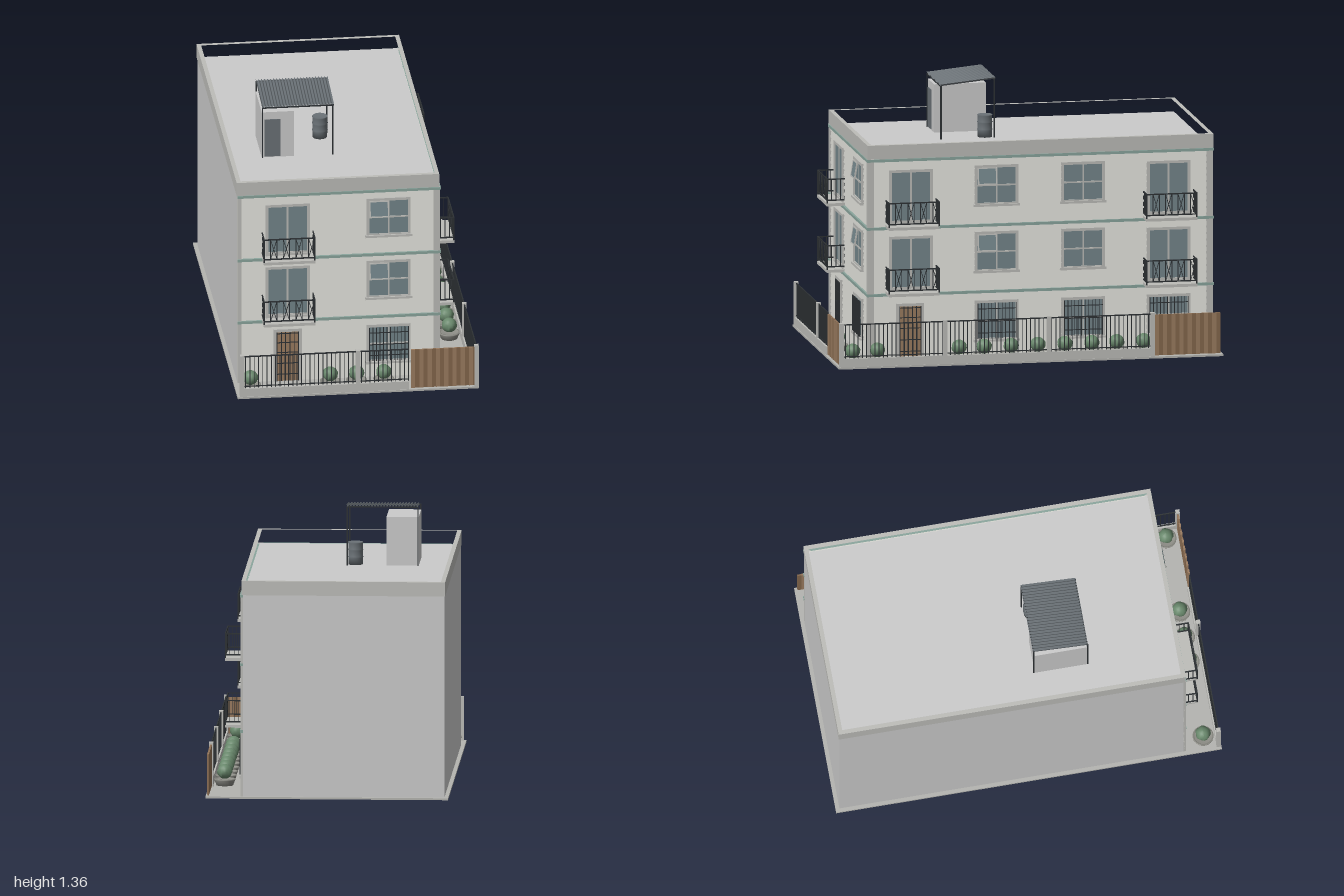
import * as THREE from 'three';
import { mergeGeometries } from 'three/addons/utils/BufferGeometryUtils.js';

const mat = (color) => new THREE.MeshStandardMaterial({ color });
const M = {
  wall: mat(0xcccccc), siding: mat(0xd6d6d0), trim: mat(0xbdbdb9), ground: mat(0xb4b4b0),
  band: mat(0x8aa59d), glass: mat(0x74868b), iron: mat(0x2c3033), wood: mat(0x9b7c60),
  woodDark: mat(0x84674c), leaf: mat(0x69886c), pot: mat(0x8f8f88), steel: mat(0x6a7176),
};

// Box from min/max corners
function box(x0, x1, y0, y1, z0, z1) {
  return new THREE.BoxGeometry(x1 - x0, y1 - y0, z1 - z0)
    .translate((x0 + x1) / 2, (y0 + y1) / 2, (z0 + z1) / 2);
}
// Thin square bar between two points
function bar(a, b, t = 0.004) {
  const p = new THREE.Vector3(...a), q = new THREE.Vector3(...b);
  const g = new THREE.BoxGeometry(t, p.distanceTo(q), t);
  const dir = q.clone().sub(p).normalize();
  g.applyQuaternion(new THREE.Quaternion().setFromUnitVectors(new THREE.Vector3(0, 1, 0), dir));
  const c = p.add(q).multiplyScalar(0.5);
  return g.translate(c.x, c.y, c.z);
}
function add(parent, name, geos, material) {
  const list = Array.isArray(geos) ? geos : [geos];
  const m = new THREE.Mesh(list.length > 1 ? mergeGeometries(list) : list[0], material);
  m.name = name;
  parent.add(m);
  return m;
}
function group(parent, name) {
  const g = new THREE.Group();
  g.name = name;
  parent.add(g);
  return g;
}
// Four-sided border, lying in the facade plane
function border(u0, u1, y0, y1, t, w0, w1) {
  return [box(u0, u0 + t, y0, y1, w0, w1), box(u1 - t, u1, y0, y1, w0, w1),
    box(u0 + t, u1 - t, y0, y0 + t, w0, w1), box(u0 + t, u1 - t, y1 - t, y1, w0, w1)];
}

// Lapped boards: sawtooth profile extruded along the facade
function siding(u0, u1) {
  const n = 31, y0 = 0.01, h = 1.04 / n, s = new THREE.Shape();
  s.moveTo(-0.004, y0);
  for (let i = 0; i < n; i++) {
    s.lineTo(0.008, y0 + i * h);
    s.lineTo(0.002, y0 + (i + 1) * h);
  }
  s.lineTo(-0.004, y0 + n * h);
  return new THREE.ExtrudeGeometry(s, { depth: u1 - u0, bevelEnabled: false })
    .rotateY(-Math.PI / 2).translate(u1, 0, 0);
}

function windowUnit(f, u, y, open, barred) {
  const g = group(f, barred ? 'barredWindow' : 'window');
  const h = 0.185, a = u - 0.1, b = u + 0.1, m = y + h / 2;
  add(g, 'windowFrame', [...border(a - 0.013, b + 0.013, y - 0.012, y + h + 0.013, 0.014, 0, 0.015),
    box(a - 0.02, b + 0.02, y - 0.016, y - 0.004, 0, 0.024)], M.trim);
  add(g, 'windowGlass', box(a, b, y, y + h, 0, 0.009), M.glass);
  add(g, 'windowBars', [box(u - 0.004, u + 0.004, y, y + h, 0, 0.012),
    box(a, b, m - 0.004, m + 0.004, 0, 0.012)], M.trim);
  if (open) { // top hung sash
    const s = group(g, 'openSash');
    s.position.set(0, y + h, 0.014);
    s.rotation.x = -0.16;
    add(s, 'sashFrame', border(a, u, -0.088, 0, 0.006, -0.003, 0.005), M.trim);
    add(s, 'sashGlass', box(a + 0.005, u - 0.005, -0.083, -0.005, -0.001, 0.002), M.glass);
  }
  if (barred) {
    const bars = [0.03, 0.09, 0.155].map((d) => box(a, b, y + d - 0.002, y + d + 0.002, 0.018, 0.022));
    for (let i = 0; i <= 11; i++) bars.push(bar([a + i * 0.2 / 11, y, 0.022], [a + i * 0.2 / 11, y + h, 0.022]));
    add(g, 'securityBars', bars, M.iron);
  }
}

function balconyDoor(f, u, y) {
  const g = group(f, 'balconyDoor');
  const a = u - 0.1, b = u + 0.1, top = y + 0.28;
  add(g, 'doorFrame', border(a - 0.013, b + 0.013, y + 0.008, top + 0.013, 0.014, 0, 0.015), M.trim);
  add(g, 'doorGlass', box(a, b, y + 0.015, top, 0, 0.009), M.glass);
  add(g, 'doorMullion', [box(u - 0.005, u + 0.005, y + 0.015, top, 0, 0.012),
    box(a, b, y + 0.015, y + 0.03, 0, 0.012)], M.trim);
  // Slab and iron railing
  const l = u - 0.13, r = u + 0.13, d = 0.095, lo = y + 0.026, hi = y + 0.135;
  add(g, 'balconySlab', box(l - 0.002, r + 0.002, y - 0.005, y + 0.01, 0, d + 0.003), M.trim);
  const rail = [];
  for (const h of [lo, hi]) {
    rail.push(bar([l, h, d], [r, h, d], 0.006));
    for (const x of [l, r]) rail.push(bar([x, h, 0], [x, h, d], 0.006));
  }
  for (const x of [l, r]) {
    rail.push(bar([x, y + 0.01, d], [x, hi, d], 0.006));
    for (let i = 0; i < 4; i++) rail.push(bar([x, lo, 0.004 + i * 0.023], [x, hi, 0.004 + i * 0.023]));
  }
  const n = 8, s = 0.26 / n;
  for (let i = 0; i < n; i++) {
    const x = l + i * s;
    if (i) rail.push(bar([x, lo, d], [x, hi, d]));
    if (i % 2) rail.push(bar([x, lo, d], [x + s, hi, d], 0.003), bar([x, hi, d], [x + s, lo, d], 0.003));
  }
  add(g, 'balconyRailing', rail, M.iron);
}

function entranceDoor(f, u) {
  const g = group(f, 'entranceDoor');
  const a = u - 0.055, b = u + 0.055;
  add(g, 'entranceFrame', [box(a - 0.017, a, 0.01, 0.298, 0, 0.016), box(b, b + 0.017, 0.01, 0.298, 0, 0.016),
    box(a, b, 0.283, 0.298, 0, 0.016)], M.trim);
  add(g, 'doorLeaf', box(a, b, 0.01, 0.283, 0, 0.01), M.wood);
  const bars = [];
  for (let i = 0; i <= 5; i++) bars.push(bar([a + i * 0.022, 0.012, 0.016], [a + i * 0.022, 0.283, 0.016]));
  for (const y of [0.05, 0.11, 0.17, 0.225, 0.275]) bars.push(bar([a, y, 0.016], [b, y, 0.016]));
  add(g, 'doorGrille', bars, M.iron);
}

// Local frame: u to the right, y up, w out of the wall
function facade(parent, name, u0, u1, doors, windows, entrance, barred) {
  const f = group(parent, name);
  add(f, 'lappedSiding', siding(u0, u1), M.siding);
  add(f, 'cornerBoards', [box(u0, u0 + 0.02, 0.01, 1.05, 0, 0.013), box(u1 - 0.02, u1 + 0.013, 0.01, 1.05, 0, 0.013)], M.trim);
  add(f, 'floorBands', [0.345, 0.69, 1.043].map((y) => box(u0, u1 + 0.017, y - 0.007, y + 0.007, 0, 0.017)), M.band);
  for (const y of [0.354, 0.699]) {
    doors.forEach((u) => balconyDoor(f, u, y));
    windows.forEach((u, i) => windowUnit(f, u, y + 0.105, i === 0, false));
  }
  entranceDoor(f, entrance);
  barred.forEach((u) => windowUnit(f, u, 0.102, false, true));
  return f;
}

// Fence run along local x from 0 to len
function fence(parent, name, len, posts) {
  const g = group(parent, name);
  add(g, 'fenceBase', box(0, len, 0.008, 0.054, -0.01, 0.01), M.trim);
  add(g, 'fencePosts', posts.map((x) => box(x - 0.011, x + 0.011, 0.008, 0.237, -0.011, 0.011)), M.trim);
  const iron = [box(0, len, 0.226, 0.232, -0.003, 0.003), box(0, len, 0.062, 0.066, -0.003, 0.003)];
  const n = Math.round(len / 0.022);
  for (let i = 0; i <= n; i++) iron.push(bar([i * len / n, 0.054, 0], [i * len / n, 0.23, 0]));
  add(g, 'fencePickets', iron, M.iron);
  return g;
}
function gate(parent, name, len) {
  const g = group(parent, name), n = 16, s = len / n, even = [], odd = [];
  for (let i = 0; i < n; i++) (i % 2 ? odd : even).push(box(i * s, (i + 1) * s, 0.015, 0.226, -0.005, i % 2 ? 0.003 : 0.005));
  add(g, 'gatePlanks', even, M.wood);
  add(g, 'gateGrooves', odd, M.woodDark);
  return g;
}

function bush(parent, x, z, k) {
  const g = group(parent, 'pottedBush');
  g.position.set(x, 0.008, z);
  g.rotation.y = k * 1.3;
  const pts = [[0, 0], [0.042, 0], [0.054, 0.03], [0.054, 0.036], [0.046, 0.036], [0.044, 0.028], [0, 0.028]];
  add(g, 'pot', new THREE.LatheGeometry(pts.map((p) => new THREE.Vector2(...p)), 20), M.pot);
  const geo = new THREE.SphereGeometry(0.038, 18, 12), p = geo.attributes.position;
  for (let i = 0; i < p.count; i++) { // twisted lobes
    const a = Math.atan2(p.getZ(i), p.getX(i)), y = p.getY(i) / 0.038;
    const s = 1 + 0.08 * Math.sin(5 * a + 4 * y) * (1 - y * y);
    p.setXYZ(i, p.getX(i) * s, p.getY(i), p.getZ(i) * s);
  }
  geo.computeVertexNormals();
  add(g, 'foliage', geo.translate(0, 0.073, 0), M.leaf);
}

function rooftop(parent) {
  const g = group(parent, 'rooftop');
  add(g, 'stairHut', box(-0.42, -0.255, 1.05, 1.3, 0.065, 0.335), M.wall);
  add(g, 'hutDoor', box(-0.405, -0.325, 1.055, 1.26, 0.33, 0.339), M.steel);
  // Corrugated sloping canopy
  const geo = new THREE.PlaneGeometry(0.37, 0.286, 120, 1).rotateX(-Math.PI / 2), p = geo.attributes.position;
  for (let i = 0; i < p.count; i++) {
    p.setY(i, 1.345 - p.getZ(i) * 0.1 + 0.005 * Math.cos((p.getX(i) + 0.185) / 0.37 * 24 * 2 * Math.PI));
  }
  geo.computeVertexNormals();
  const sheet = M.steel.clone();
  sheet.side = THREE.DoubleSide;
  add(g, 'canopySheet', geo.translate(-0.235, 0, 0.198), sheet);
  add(g, 'canopyFrame', [bar([-0.055, 1.05, 0.338], [-0.055, 1.328, 0.338], 0.007), bar([-0.055, 1.05, 0.06], [-0.055, 1.355, 0.06], 0.007),
    bar([-0.417, 1.05, 0.34], [-0.417, 1.328, 0.34], 0.006), bar([-0.417, 1.05, 0.06], [-0.417, 1.355, 0.06], 0.006),
    bar([-0.42, 1.325, 0.338], [-0.05, 1.325, 0.338], 0.006), bar([-0.42, 1.352, 0.06], [-0.05, 1.352, 0.06], 0.006)], M.iron);
  // Ribbed water barrel
  const pts = [[0, 0], [0.037, 0], [0.037, 0.036], [0.041, 0.039], [0.037, 0.042], [0.037, 0.074],
    [0.041, 0.077], [0.037, 0.08], [0.037, 0.11], [0.04, 0.113], [0.037, 0.116], [0.034, 0.112], [0, 0.112]];
  add(g, 'waterBarrel', new THREE.LatheGeometry(pts.map((q) => new THREE.Vector2(...q)), 24), M.steel).position.set(-0.095, 1.05, 0.102);
}

export function createModel() {
  const root = new THREE.Group();
  root.name = 'apartmentBuilding';
  add(root, 'groundSlab', box(-0.62, 0.62, 0, 0.01, -1, 1), M.ground);
  add(root, 'buildingBody', box(-0.6, 0.428, 0.005, 1.05, -0.98, 0.803), M.wall);

  // Parapet ring
  const rect = (C, x0, x1, z0, z1) => {
    const c = new C();
    c.moveTo(x0, -z0); c.lineTo(x1, -z0); c.lineTo(x1, -z1); c.lineTo(x0, -z1); c.closePath();
    return c;
  };
  const ring = rect(THREE.Shape, -0.604, 0.437, -0.984, 0.815);
  ring.holes.push(rect(THREE.Path, -0.582, 0.415, -0.962, 0.793));
  add(root, 'parapet', new THREE.ExtrudeGeometry(ring, { depth: 0.073, bevelEnabled: false })
    .rotateX(-Math.PI / 2).translate(0, 1.049, 0), M.trim);

  // Street facades
  facade(root, 'frontFacade', -0.6, 0.428, [-0.342], [0.177], -0.342, [0.177]).position.z = 0.803;
  const side = facade(root, 'leftFacade', -0.803, 0.967, [-0.59, 0.75], [-0.145, 0.305], -0.595, [-0.145, 0.305, 0.75]);
  side.rotation.y = Math.PI / 2;
  side.position.x = 0.428;

  // Fences and gates
  fence(root, 'frontFence', 0.86, [0.004, 0.6]).position.set(-0.6, 0, 0.986);
  gate(root, 'frontGate', 0.34).position.set(0.272, 0, 0.986);
  const sf = fence(root, 'sideFence', 1.62, [0, 0.54, 1.08, 1.62]);
  const sg = gate(root, 'sideGate', 0.34);
  sf.rotation.y = sg.rotation.y = Math.PI / 2;
  sf.position.set(0.608, 0, 0.986);
  sg.position.set(0.608, 0, -0.645);

  // Potted bushes
  [-0.545, -0.135, 0, 0.14, 0.545].forEach((x, i) => bush(root, x, 0.915, i));
  [0.785, 0.36, 0.23, 0.09, -0.05, -0.19, -0.33, -0.46, -0.6].forEach((z, i) => bush(root, 0.54, z, i + 5));
  rooftop(root);
  return root;
}
